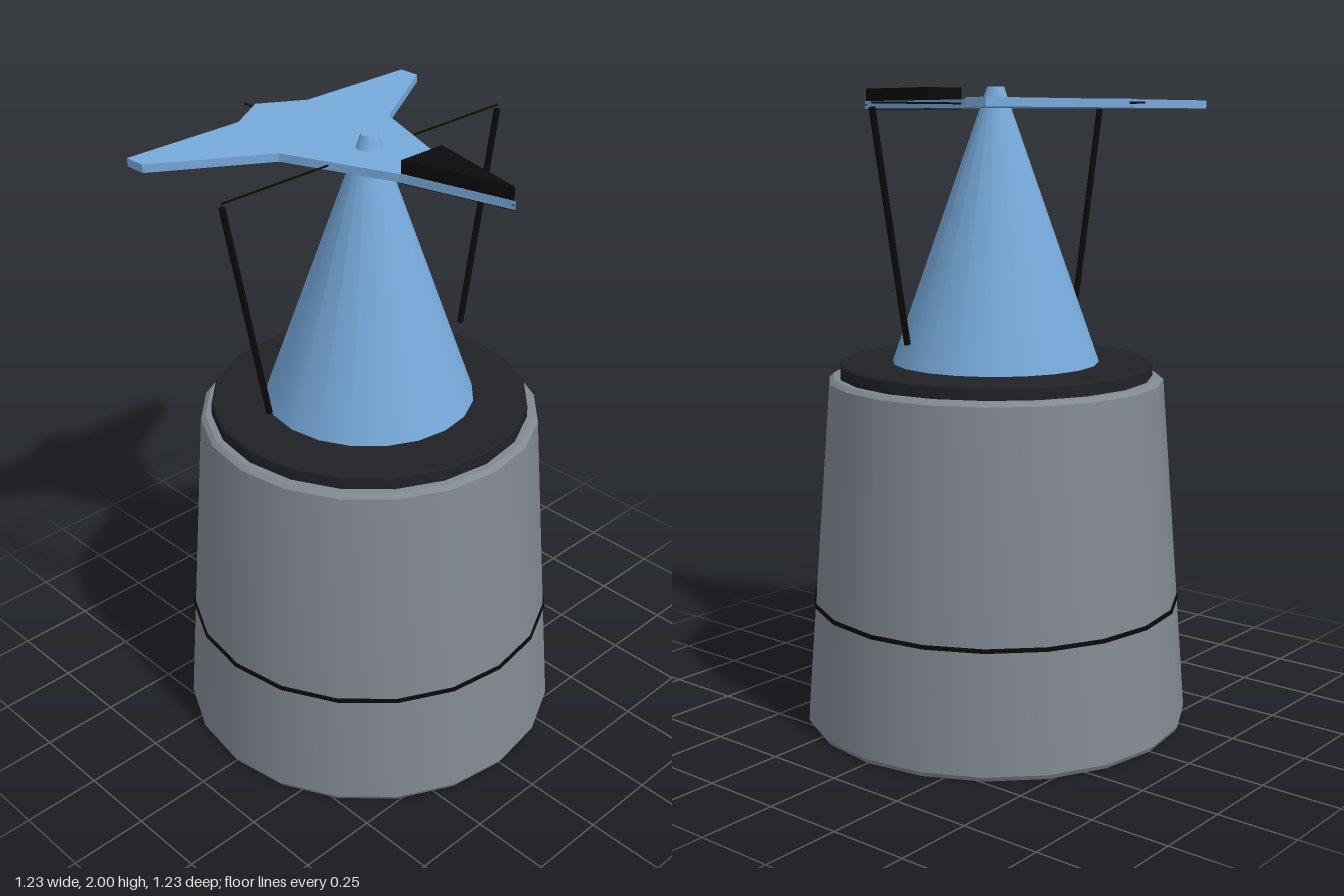
import * as THREE from 'three';
import { toCreasedNormals } from 'three/addons/utils/BufferGeometryUtils.js';

const SIDES = 20;
const mat = (color) => new THREE.MeshStandardMaterial({ color });

export function createModel() {
  const group = new THREE.Group();
  const blue = mat(0x76a9da), grey = mat(0x828892), dark = mat(0x202226), black = mat(0x0a0a0a);

  const add = (name, geometry, material) => {
    const mesh = new THREE.Mesh(geometry, material);
    mesh.name = name;
    group.add(mesh);
    return mesh;
  };

  // Turned part from [radius, height] points, listed from bottom to top
  const turned = (name, points, material) => {
    const profile = points.map(([r, y]) => new THREE.Vector2(r, y));
    return add(name, toCreasedNormals(new THREE.LatheGeometry(profile, SIDES), 0.5), material);
  };

  // Flat horizontal plate from a half outline of [x, z] points, mirrored in x
  const plate = (name, half, bottom, top, material) => {
    const mirrored = half.filter(([x]) => x > 0).reverse().map(([x, z]) => [-x, z]);
    const outline = [...half, ...mirrored].map(([x, z]) => new THREE.Vector2(x, -z));
    const geometry = new THREE.ExtrudeGeometry(new THREE.Shape(outline), {
      depth: top - bottom, bevelEnabled: false,
    });
    geometry.rotateX(-Math.PI / 2).translate(0, bottom, 0);
    return add(name, geometry, material);
  };

  // Round bar between two points
  const bar = (name, from, to, radius) => {
    const a = new THREE.Vector3(...from), b = new THREE.Vector3(...to);
    const mesh = add(name, new THREE.CylinderGeometry(radius, radius, a.distanceTo(b), 10), black);
    mesh.position.copy(a).lerp(b, 0.5);
    mesh.quaternion.setFromUnitVectors(new THREE.Vector3(0, 1, 0), b.sub(a).normalize());
    return mesh;
  };

  // Tapered base with chamfered rims, its dark belt and the lid
  turned('base', [[0, 0], [0.607, 0], [0.615, 0.015], [0.53, 1.095], [0.515, 1.108], [0, 1.108]], grey);
  turned('belt', [[0.58, 0.384], [0.591, 0.384], [0.59, 0.396], [0.58, 0.396]], black);
  turned('lid', [[0, 1.1], [0.49, 1.1], [0.495, 1.106], [0.495, 1.144], [0.49, 1.15], [0, 1.15]], dark);

  // Cone whose blunt tip passes through the pointer plate
  turned('cone', [[0, 1.145], [0.328, 1.145], [0.038, 1.965], [0.026, 2], [0, 2]], blue);

  // Three-armed pointer plate with its dark nose wedge
  plate('pointerPlate', [
    [0, 0.555], [0.085, 0.205], [0.22, -0.142], [0.55, -0.345],
    [0.55, -0.415], [0.14, -0.415], [0, -0.5],
  ], 1.935, 1.96, blue);
  plate('noseWedge', [[0, 0.55], [0.081, 0.207]], 1.932, 2, black);

  // Crossed wires and the two hanging rods
  bar('crossWire', [-0.55, 1.948, 0], [0.55, 1.948, 0], 0.003);
  bar('lengthWire', [0, 1.948, -0.55], [0, 1.948, 0.55], 0.003);
  for (const [side, name] of [[1, 'leftRod'], [-1, 'rightRod']]) {
    bar(name, [side * 0.55, 1.935, 0], [side * 0.412, 1.247, 0], 0.01);
  }

  return group;
}
